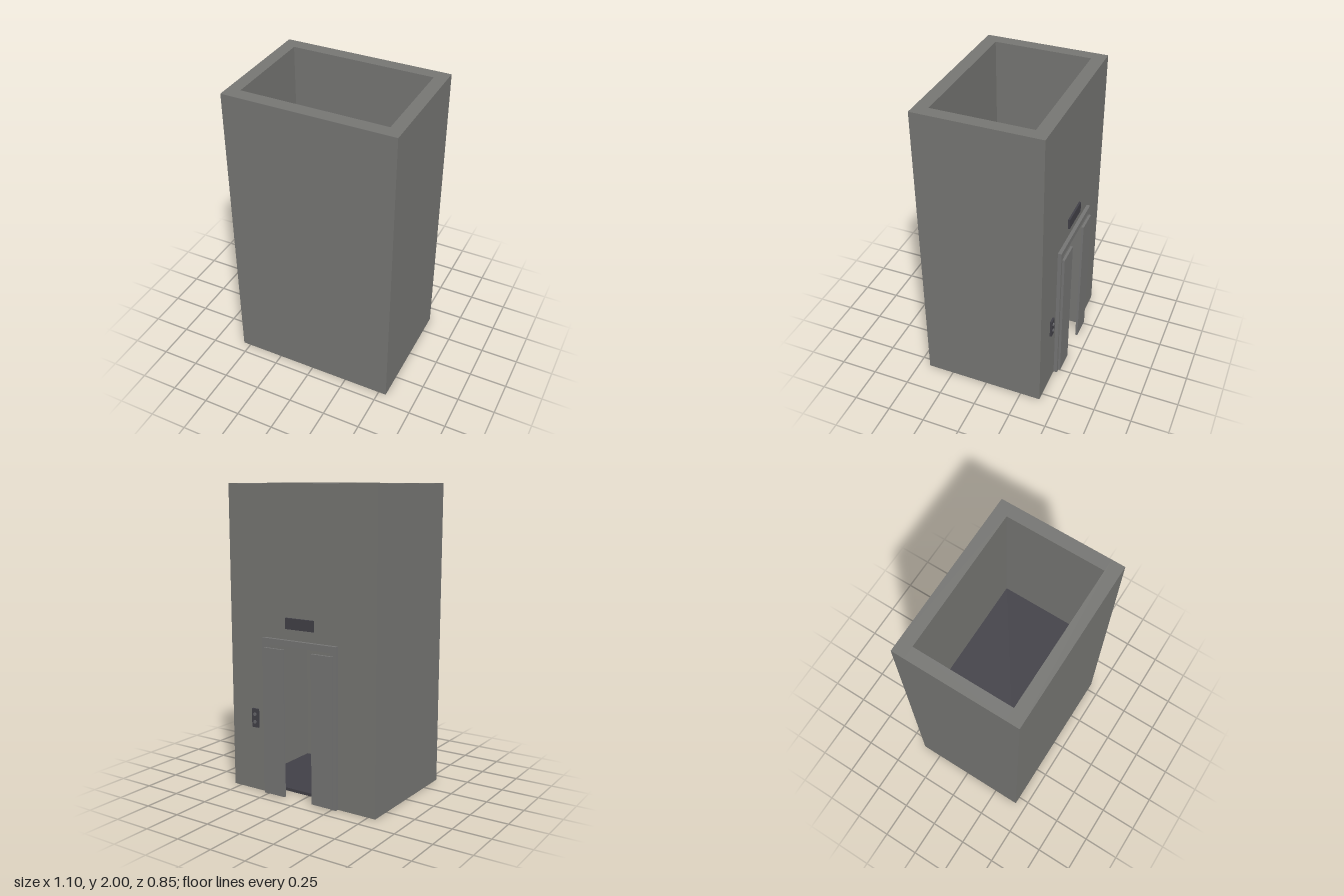
import * as THREE from 'three';

const material = (name, color) => {
  const m = new THREE.MeshStandardMaterial({ color });
  m.name = name;
  return m;
};

export function createModel() {
  const group = new THREE.Group();
  const concrete = material('concrete grey', 0x767673);
  const metal = material('door metal grey', 0x757574);
  const dark = material('dark slate', 0x414047);
  const button = material('button grey', 0x66666a);

  const add = (name, geometry, mat) => {
    const mesh = new THREE.Mesh(geometry, mat);
    mesh.name = name;
    group.add(mesh);
    return mesh;
  };

  // Box given by its limits on each axis
  const box = (name, mat, [x0, x1], [y0, y1], [z0, z1]) => {
    const mesh = add(name, new THREE.BoxGeometry(x1 - x0, y1 - y0, z1 - z0), mat);
    mesh.position.set((x0 + x1) / 2, (y0 + y1) / 2, (z0 + z1) / 2);
    return mesh;
  };

  // Upright panel with a doorway cut up from its bottom edge
  const doorwayPanel = (name, mat, halfWidth, height, z0, z1) => {
    const w = 0.24, h = 1.0;
    const shape = new THREE.Shape([
      [-halfWidth, 0], [-w, 0], [-w, h], [w, h],
      [w, 0], [halfWidth, 0], [halfWidth, height], [-halfWidth, height],
    ].map(([x, y]) => new THREE.Vector2(x, y)));
    const geometry = new THREE.ExtrudeGeometry(shape, { depth: z1 - z0, bevelEnabled: false });
    add(name, geometry, mat).position.z = z0;
  };

  const X = 0.552, IX = 0.47;
  const BACK = -0.386, INNER_BACK = -0.301, INNER_FRONT = 0.34, FRONT = 0.426;

  // Open-topped shaft
  doorwayPanel('doorwayWall', concrete, X, 2, BACK, INNER_BACK);
  box('plainWall', concrete, [-X, X], [0, 2], [INNER_FRONT, FRONT]);
  box('leftWall', concrete, [IX, X], [0, 2], [INNER_BACK, INNER_FRONT]);
  box('rightWall', concrete, [-X, -IX], [0, 2], [INNER_BACK, INNER_FRONT]);

  // Floor and the slab above the doorway
  box('floor', dark, [-IX, IX], [0, 0.02], [INNER_BACK, INNER_FRONT]);
  box('ceilingSlab', dark, [-IX, IX], [1.04, 1.06], [INNER_BACK, INNER_FRONT]);

  // Door frame and half-open sliding doors
  doorwayPanel('doorFrame', metal, 0.28, 1.04, -0.41, BACK);
  box('leftDoor', metal, [0.107, 0.26], [0.01, 0.98], [-0.426, -0.41]);
  box('rightDoor', metal, [-0.26, -0.107], [0.01, 0.98], [-0.426, -0.41]);

  // Floor indicator above the doorway
  box('floorIndicator', dark, [-0.106, 0.106], [1.11, 1.18], [-0.399, BACK]);

  // Call panel with two round buttons
  box('callPanel', dark, [0.335, 0.385], [0.43, 0.555], [-0.399, BACK]);
  for (const y of [0.467, 0.518]) {
    const geometry = new THREE.CylinderGeometry(0.012, 0.012, 0.008, 16).rotateX(Math.PI / 2);
    add('callButton', geometry, button).position.set(0.36, y, -0.4);
  }

  return group;
}
